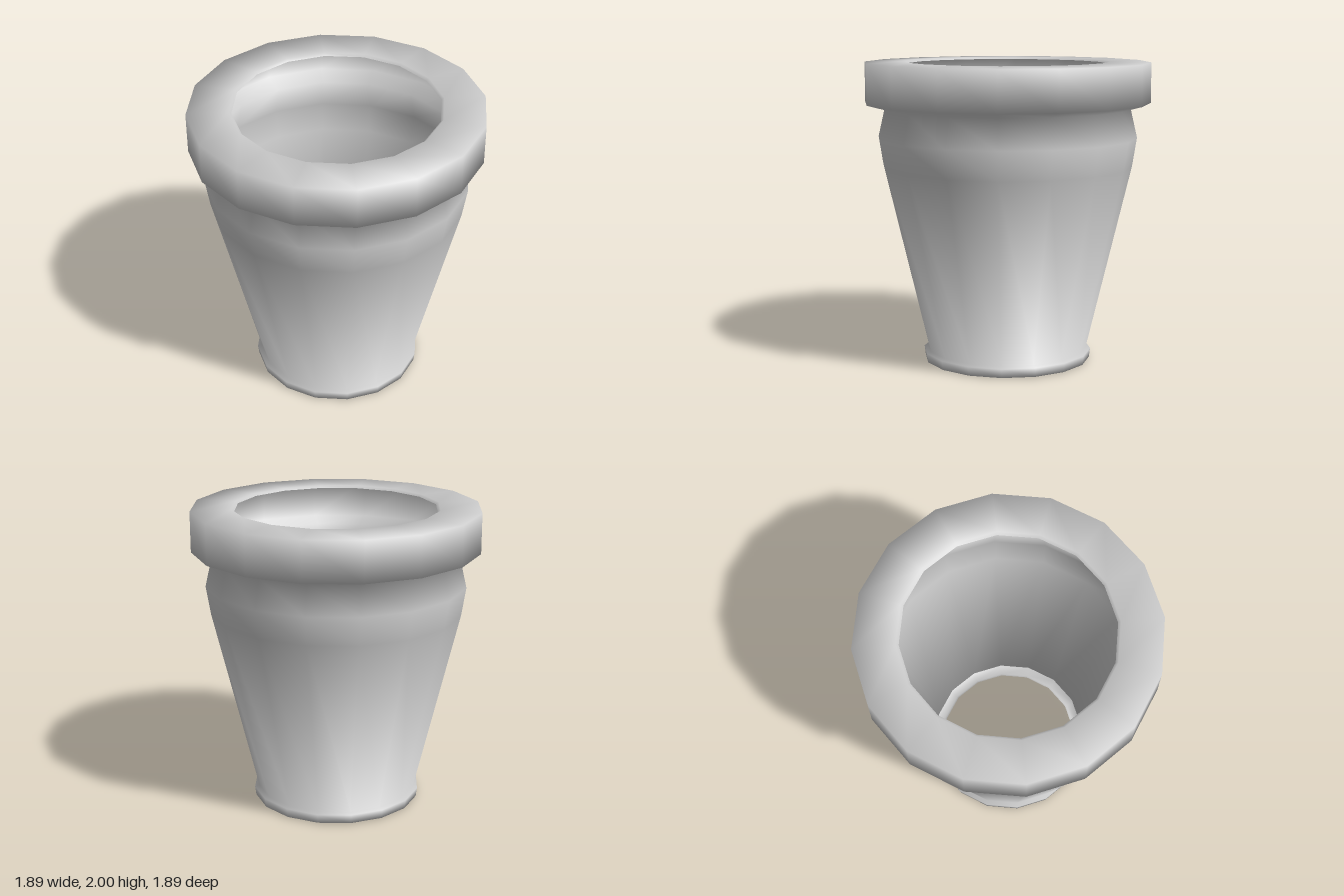
import * as THREE from 'three';

const SIDES = 16;

// Replace lathe normals by even averages of neighbouring profile edges, for soft steps
function softenNormals(geometry, profile) {
  const edges = profile.slice(1).map((p, i) => {
    const d = p.clone().sub(profile[i]).normalize();
    return new THREE.Vector2(d.y, -d.x);
  });
  const normals = profile.map((_, i) =>
    (edges[i - 1] ?? edges[i]).clone().add(edges[i] ?? edges[i - 1]).normalize());
  const attribute = geometry.attributes.normal;
  for (let i = 0; i < attribute.count; i++) {
    const angle = Math.floor(i / profile.length) / SIDES * Math.PI * 2;
    const n = normals[i % profile.length];
    attribute.setXYZ(i, n.x * Math.sin(angle), n.y, n.x * Math.cos(angle));
  }
}

export function createModel() {
  const group = new THREE.Group();
  group.name = 'flowerPot';
  // The pot is a single open skin, seen from both sides
  const clay = new THREE.MeshStandardMaterial({ color: 0xcccccc, side: THREE.DoubleSide });
  clay.name = 'pale grey';

  // Wall profile [radius, height] from the open base up to the mouth
  const profile = [
    [0.48, 0.01], [0.495, 0], [0.557, 0.005], [0.565, 0.065], [0.535, 0.075], // foot ring
    [0.83, 1.31], [0.86, 1.5], [0.815, 1.695],                                // tapered body and shoulder
    [0.947, 1.73], [0.947, 1.995],                                            // heavy rim
    [0.68, 2], [0.663, 1.985],                                                // bevelled mouth
  ].map(([r, y]) => new THREE.Vector2(r, y));

  const geometry = new THREE.LatheGeometry(profile, SIDES);
  softenNormals(geometry, profile);
  const pot = new THREE.Mesh(geometry, clay);
  pot.name = 'potWall';
  group.add(pot);
  return group;
}
